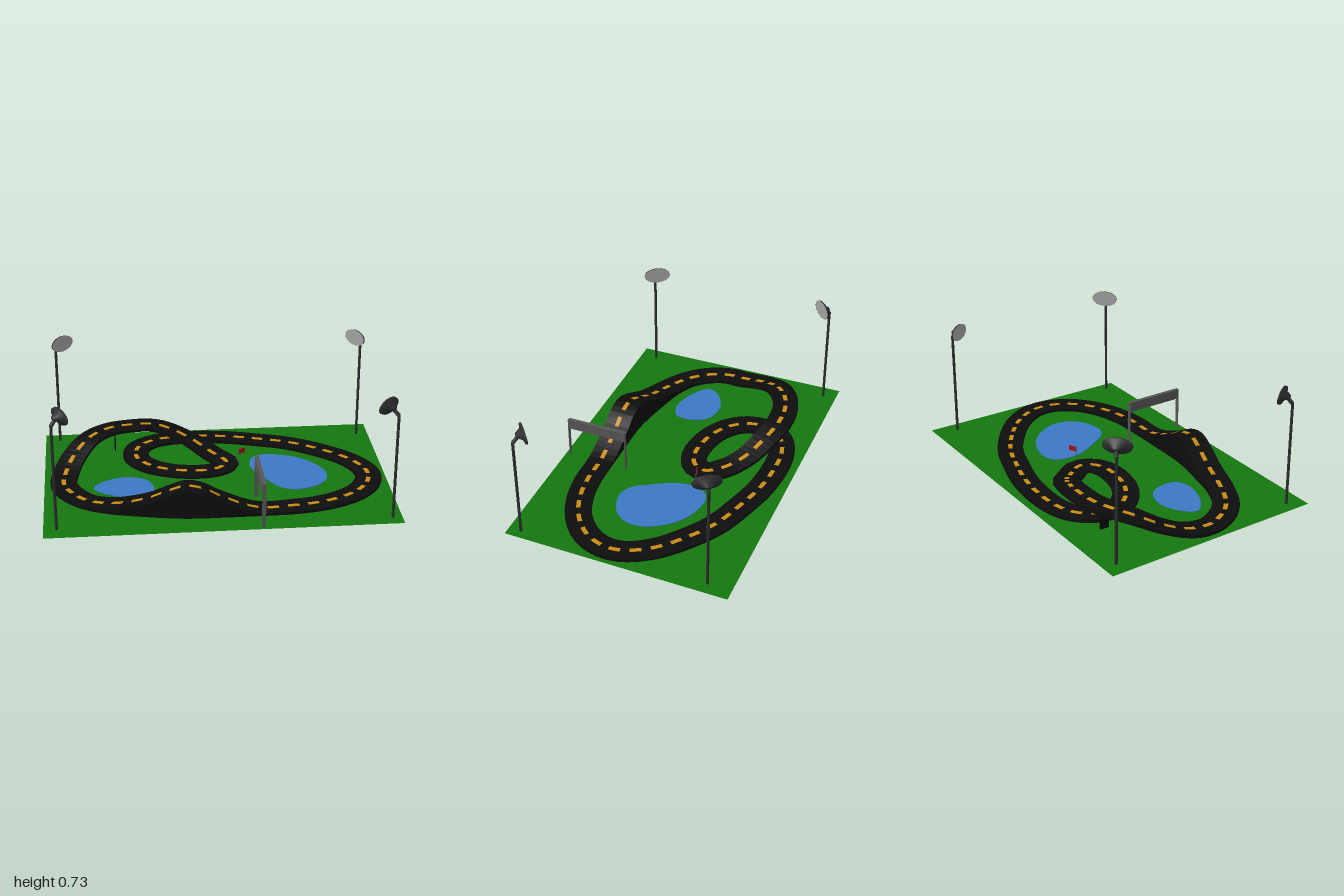
import * as THREE from 'three';
import { mergeGeometries } from 'three/addons/utils/BufferGeometryUtils.js';

const GROUND = 0.034;
const mat = (color) => new THREE.MeshStandardMaterial({ color, side: THREE.DoubleSide });
const BLACK = mat(0x0d0d0d), ORANGE = mat(0xc98a12), GREEN = mat(0x15750f), BLUE = mat(0x3c78c3);
const GREY = mat(0x555555), DARK = mat(0x2b2d2e), LENS = mat(0x9c9c9c), RED = mat(0xaa0f14);

// Centre line of the road surface: x, y, z
const ROUTE = [
  [0.2, 0.05, 0.43], [0, 0.125, 0.43], [-0.1, 0.178, 0.43], [-0.2, 0.198, 0.425], [-0.3, 0.165, 0.41],
  [-0.42, 0.11, 0.385], [-0.6, 0.065, 0.34], [-0.74, 0.05, 0.27], [-0.83, 0.05, 0.17], [-0.88, 0.05, 0.05],
  [-0.87, 0.06, -0.08], [-0.82, 0.105, -0.22], [-0.73, 0.158, -0.34], [-0.62, 0.177, -0.42],
  [-0.5, 0.178, -0.46], [-0.34, 0.176, -0.465], [-0.22, 0.148, -0.43], [-0.1, 0.1, -0.37],
  [0, 0.06, -0.28], [0.075, 0.05, -0.17], [0.04, 0.05, -0.095], [-0.04, 0.05, -0.06],
  [-0.15, 0.05, -0.06], [-0.27, 0.05, -0.09], [-0.37, 0.05, -0.15], [-0.44, 0.05, -0.24],
  [-0.455, 0.05, -0.33], [-0.43, 0.05, -0.42], [-0.36, 0.05, -0.49], [-0.25, 0.05, -0.53],
  [-0.1, 0.05, -0.54], [0.1, 0.05, -0.52], [0.3, 0.05, -0.465], [0.48, 0.05, -0.4],
  [0.65, 0.05, -0.29], [0.8, 0.05, -0.15], [0.88, 0.05, 0], [0.88, 0.05, 0.12],
  [0.82, 0.05, 0.24], [0.7, 0.05, 0.34], [0.55, 0.05, 0.4], [0.4, 0.05, 0.425],
];
const route = new THREE.CatmullRomCurve3(ROUTE.map((p) => new THREE.Vector3(...p)), true);
route.arcLengthDivisions = 1000;

function add(parent, name, geometry, material, x = 0, y = 0, z = 0) {
  const mesh = new THREE.Mesh(geometry, material);
  mesh.name = name;
  mesh.position.set(x, y, z);
  parent.add(mesh);
  return mesh;
}

// Sweeps a rectangular section along the route from t0 to t1
function sweep(t0, t1, steps, halfWidth, lift, bottomAt) {
  const pos = [], index = [];
  for (let i = 0; i <= steps; i++) {
    const t = (t0 + ((t1 - t0) * i) / steps) % 1;
    const p = route.getPointAt(t), d = route.getTangentAt(t);
    const side = new THREE.Vector3(-d.z, 0, d.x).normalize().multiplyScalar(halfWidth);
    const top = p.y + lift, low = bottomAt(p);
    for (const [s, y] of [[-1, top], [1, top], [1, low], [-1, low]]) {
      pos.push(p.x + s * side.x, y, p.z + s * side.z);
    }
    if (i === steps) break;
    for (let j = 0; j < 4; j++) {
      const a = i * 4 + j, b = i * 4 + ((j + 1) % 4);
      index.push(a, b, b + 4, a, b + 4, a + 4);
    }
  }
  const g = new THREE.BufferGeometry();
  g.setAttribute('position', new THREE.Float32BufferAttribute(pos, 3));
  g.setIndex(index);
  const flat = g.toNonIndexed();
  flat.computeVertexNormals();
  return flat;
}

// Rounded pond body from outline points (x, z)
function pond(points, bottom, top) {
  const outline = new THREE.CatmullRomCurve3(points.map(([x, z]) => new THREE.Vector3(x, -z, 0)), true);
  const shape = new THREE.Shape(outline.getPoints(48).map((p) => new THREE.Vector2(p.x, p.y)));
  return new THREE.ExtrudeGeometry(shape, { depth: top - bottom, bevelEnabled: false })
    .rotateX(-Math.PI / 2).translate(0, bottom, 0);
}

// Floodlight: pole, oval lens and tapered housing, aimed at the field
function floodlight(name, px, pz, hx, hz, nx, nz) {
  const group = new THREE.Group();
  group.name = name;
  add(group, 'lightPole', new THREE.CylinderGeometry(0.008, 0.008, 0.62, 12), DARK, px, 0.34, pz);
  const neck = new THREE.LineCurve3(new THREE.Vector3(px, 0.645, pz), new THREE.Vector3(hx - nx * 0.025, 0.68, hz - nz * 0.025));
  add(group, 'lightNeck', new THREE.TubeGeometry(neck, 1, 0.011, 10), DARK);
  const head = new THREE.Group();
  head.name = 'lightHead';
  const profile = [[0, -0.045], [0.016, -0.043], [0.045, -0.012], [0.078, -0.006], [0.08, 0.004]]
    .map((p) => new THREE.Vector2(...p));
  add(head, 'lightHousing', new THREE.LatheGeometry(profile, 28).rotateX(Math.PI / 2), DARK);
  add(head, 'lightLens', new THREE.CircleGeometry(0.08, 28), LENS, 0, 0, 0.0035);
  head.scale.y = 0.58;
  head.position.set(hx, 0.686, hz);
  head.lookAt(hx + nx, 0.686 + 0.08, hz + nz);
  group.add(head);
  return group;
}

export function createModel() {
  const model = new THREE.Group();
  model.name = 'raceTrack';

  // Grass field
  const field = new THREE.Shape([[-0.985, -0.655], [0.98, -0.655], [1, 0.66], [-1, 0.66]]
    .map((p) => new THREE.Vector2(...p)));
  add(model, 'grass', new THREE.ShapeGeometry(field).rotateX(-Math.PI / 2), GREEN, 0, GROUND, 0);

  // Ponds
  add(model, 'largePond', pond([[0.215, -0.13], [0.24, -0.23], [0.3, -0.265], [0.42, -0.25], [0.52, -0.2],
    [0.61, -0.1], [0.65, 0], [0.64, 0.09], [0.57, 0.17], [0.44, 0.205], [0.36, 0.17], [0.3, 0.08], [0.24, -0.03]],
  0, 0.038), BLUE);
  add(model, 'smallPond', pond([[-0.71, 0.1], [-0.67, 0.03], [-0.54, -0.03], [-0.42, 0], [-0.37, 0.08],
    [-0.375, 0.19], [-0.45, 0.225], [-0.54, 0.215], [-0.64, 0.17]], 0.015, 0.038), BLUE);

  // Road: solid below the front hump, a thin deck elsewhere
  add(model, 'road', sweep(0, 1, 150, 0.076, 0, (p) => (p.z > 0.1 ? 0.031 : p.y - 0.019)), BLACK);

  // Dashed centre line
  const count = 52, dashes = [];
  for (let i = 0; i < count; i++) {
    dashes.push(sweep(i / count, (i + 0.56) / count, 4, 0.0125, 0.0025, (p) => p.y - 0.003));
  }
  add(model, 'centreDashes', mergeGeometries(dashes), ORANGE);

  // Bridge support
  add(model, 'bridgePillar', new THREE.BoxGeometry(0.008, 0.14, 0.055), BLACK, -0.576, 0.104, -0.43);

  // Start gate
  const gate = new THREE.Group();
  gate.name = 'startGate';
  add(gate, 'gateBanner', new THREE.BoxGeometry(0.022, 0.06, 0.36), GREY, 0.207, 0.26, 0.45);
  for (const z of [0.272, 0.628]) {
    add(gate, 'gatePost', new THREE.BoxGeometry(0.022, 0.2, 0.005), GREY, 0.207, 0.132, z);
  }
  model.add(gate);

  // Marker flag
  add(model, 'flagPole', new THREE.CylinderGeometry(0.002, 0.002, 0.1, 8), GREY, 0.15, 0.083, -0.146);
  const flag = add(model, 'flag', new THREE.BoxGeometry(0.045, 0.03, 0.003), RED, 0.17, 0.12, -0.157);
  flag.rotation.y = Math.atan2(0.023, 0.04);

  // Corner floodlights
  model.add(
    floodlight('backRightLight', -0.912, -0.58, -0.87, -0.545, 0.68, 0.73),
    floodlight('backLeftLight', 0.927, -0.52, 0.888, -0.495, -0.84, 0.55),
    floodlight('frontRightLight', -0.914, 0.556, -0.867, 0.522, 0.85, -0.53),
    floodlight('frontLeftLight', 0.927, 0.582, 0.878, 0.54, -0.66, -0.75),
  );
  return model;
}
